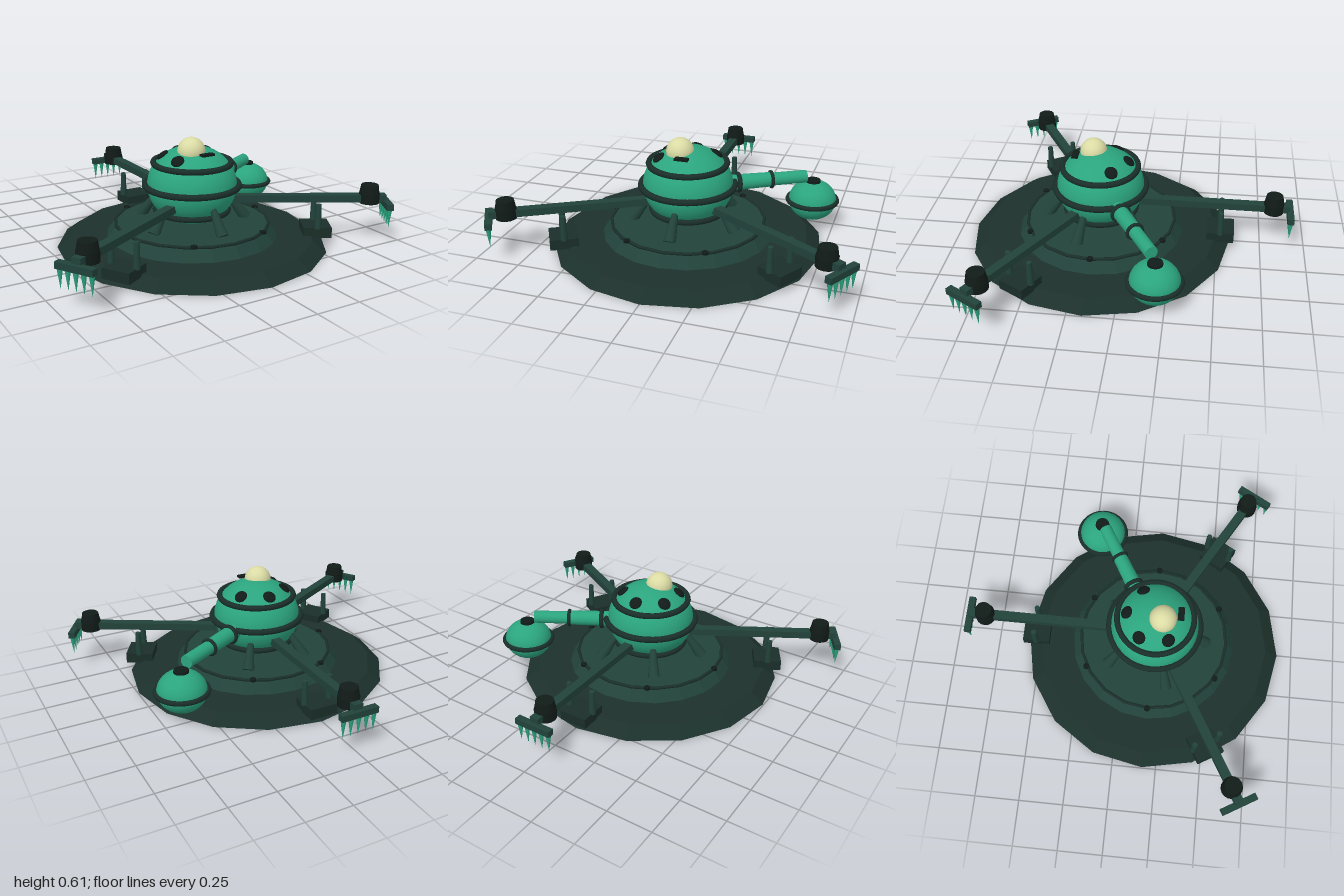
import * as THREE from 'three';

const mat = (color, flatShading = false) => new THREE.MeshStandardMaterial({ color, flatShading });
const baseMat = mat(0x1c302b, true);
const tierMat = mat(0x21423a, true);
const frameMat = mat(0x21423a);
const trimMat = mat(0x1a2e29);
const blackMat = mat(0x111b18);
const tealMat = mat(0x2ba47e);
const lampMat = mat(0xdadba4);

function add(parent, name, geometry, material, x = 0, y = 0, z = 0) {
  const mesh = new THREE.Mesh(geometry, material);
  mesh.name = name;
  mesh.position.set(x, y, z);
  parent.add(mesh);
  return mesh;
}

// Horizontal ring around the y axis
function addRing(parent, name, radius, tube, y, material = trimMat, segments = 40) {
  const ring = add(parent, name, new THREE.TorusGeometry(radius, tube, 8, segments), material, 0, y, 0);
  ring.rotation.x = Math.PI / 2;
  return ring;
}

// Tapered rod between two points
function addRod(parent, name, from, to, r0, r1, material, segments = 10) {
  const dir = to.clone().sub(from);
  const rod = add(parent, name, new THREE.CylinderGeometry(r1, r0, dir.length(), segments), material);
  rod.position.copy(from).addScaledVector(dir, 0.5);
  rod.quaternion.setFromUnitVectors(new THREE.Vector3(0, 1, 0), dir.normalize());
  return rod;
}

// Radial arm built along +z, with drum, spiked crossbar and support
function makeArm() {
  const arm = new THREE.Group();
  arm.name = 'arm';
  add(arm, 'beam', new THREE.BoxGeometry(0.05, 0.04, 0.86), frameMat, 0, 0.25, 0.64);
  add(arm, 'drumBase', new THREE.CylinderGeometry(0.057, 0.057, 0.055, 16), blackMat, 0, 0.25, 0.98);
  add(arm, 'drumCap', new THREE.CylinderGeometry(0.047, 0.055, 0.05, 16), blackMat, 0, 0.3, 0.98);
  add(arm, 'crossbar', new THREE.BoxGeometry(0.21, 0.034, 0.037), frameMat, 0, 0.223, 1.073);
  const spike = new THREE.ConeGeometry(0.015, 0.105, 8);
  spike.rotateX(Math.PI);
  for (let i = -2; i <= 2; i++) add(arm, 'spike', spike, tealMat, i * 0.044, 0.156, 1.073);
  add(arm, 'supportBlock', new THREE.BoxGeometry(0.16, 0.058, 0.155), trimMat, 0, 0.07, 0.69);
  for (const side of [-1, 1])
    add(arm, 'supportPost', new THREE.CylinderGeometry(0.015, 0.019, 0.14, 10), frameMat, side * 0.075, 0.165, 0.69);
  return arm;
}

export function createModel() {
  const model = new THREE.Group();
  model.name = 'station';
  const core = new THREE.Group();
  core.name = 'core';
  core.position.z = 0.17;
  model.add(core);

  // Stepped base
  add(core, 'base', new THREE.CylinderGeometry(0.67, 0.745, 0.054, 16), baseMat, 0, 0.027, 0);
  add(core, 'tier', new THREE.CylinderGeometry(0.425, 0.475, 0.07, 20), tierMat, 0, 0.087, 0);
  addRing(core, 'tierRim', 0.425, 0.009, 0.12, trimMat, 20);
  for (let i = 0; i < 6; i++) {
    const a = (i + 0.5) * Math.PI / 3;
    add(core, 'bolt', new THREE.CylinderGeometry(0.018, 0.018, 0.014, 8), blackMat,
      0.43 * Math.sin(a), 0.126, 0.43 * Math.cos(a));
  }

  // Leaning struts under the body
  for (let i = 0; i < 5; i++) {
    const a = i * Math.PI * 2 / 5;
    const at = (r, y) => new THREE.Vector3(r * Math.sin(a), y, r * Math.cos(a));
    addRod(core, 'strut', at(0.31, 0.12), at(0.215, 0.245), 0.034, 0.017, frameMat);
  }

  // Banded round body
  add(core, 'body', new THREE.SphereGeometry(0.247, 40, 28), tealMat, 0, 0.33, 0).scale.y = 0.875;
  addRing(core, 'equatorBand', 0.257, 0.018, 0.33);
  addRing(core, 'upperBand', 0.212, 0.017, 0.455);
  addRing(core, 'lowerBand', 0.2, 0.017, 0.19);

  // Portholes, lamp and hatch on the dome
  for (const degrees of [180, 120, -120, -60]) {
    const a = THREE.MathUtils.degToRad(degrees);
    const hole = add(core, 'porthole', new THREE.SphereGeometry(0.037, 16, 10), blackMat,
      0.16 * Math.sin(a), 0.495, 0.16 * Math.cos(a));
    hole.scale.y = 0.4;
    const normal = new THREE.Vector3(Math.sin(a), 1.35, Math.cos(a)).normalize();
    hole.quaternion.setFromUnitVectors(new THREE.Vector3(0, 1, 0), normal);
  }
  add(core, 'lamp', new THREE.SphereGeometry(0.076, 24, 16), lampMat, -0.03, 0.53, 0.04);
  add(core, 'hatch', new THREE.BoxGeometry(0.075, 0.012, 0.035), blackMat, 0.01, 0.524, 0.137);

  // Three radial arms
  for (let i = 0; i < 3; i++) {
    const arm = makeArm();
    arm.rotation.y = Math.PI / 3 + i * Math.PI * 2 / 3;
    core.add(arm);
  }

  // Side tube with collars, built along +z
  const boom = new THREE.Group();
  boom.name = 'boom';
  boom.rotation.y = THREE.MathUtils.degToRad(120.3);
  core.add(boom);
  const along = (z) => new THREE.Vector3(0, 0.312, z);
  addRod(boom, 'innerTube', along(0.18), along(0.48), 0.046, 0.041, tealMat, 20);
  addRod(boom, 'outerTube', along(0.47), along(0.68), 0.037, 0.036, tealMat, 20);
  add(boom, 'rootCollar', new THREE.TorusGeometry(0.046, 0.013, 8, 24), trimMat, 0, 0.312, 0.285);
  add(boom, 'middleCollar', new THREE.TorusGeometry(0.042, 0.01, 8, 24), trimMat, 0, 0.312, 0.475);

  // Pod below the end of the tube
  const pod = new THREE.Group();
  pod.name = 'pod';
  pod.position.set(0, 0.165, 0.727);
  boom.add(pod);
  add(pod, 'podShell', new THREE.SphereGeometry(0.135, 28, 20), tealMat).scale.y = 0.85;
  addRing(pod, 'podBand', 0.139, 0.014, 0);
  add(pod, 'podCap', new THREE.CylinderGeometry(0.04, 0.042, 0.016, 16), blackMat, 0, 0.115, 0);

  return model;
}
